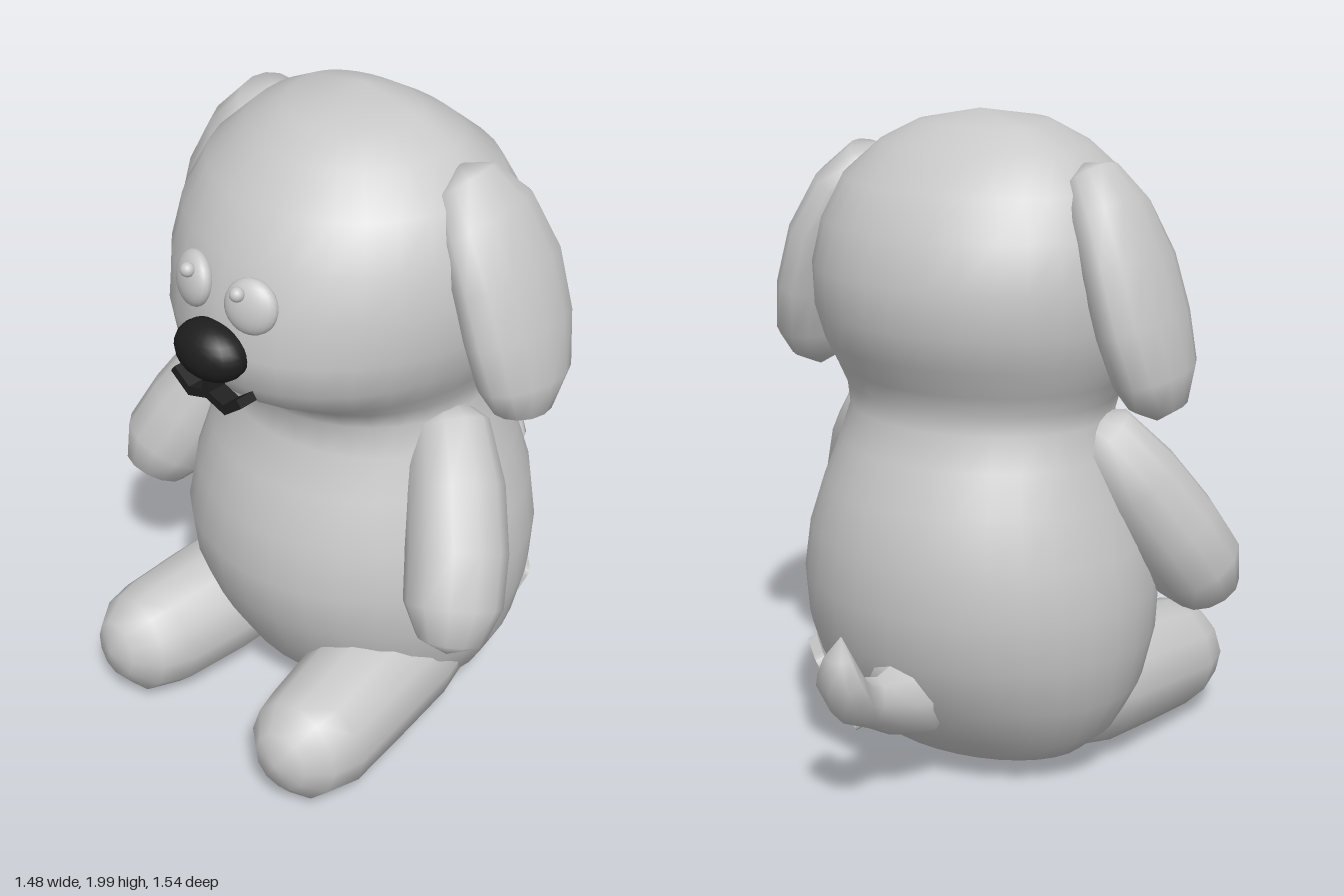
import * as THREE from 'three';
import { mergeVertices } from 'three/addons/utils/BufferGeometryUtils.js';
import { RoundedBoxGeometry } from 'three/addons/geometries/RoundedBoxGeometry.js';

// Smooth skin over elliptical sections [x, y, z, ru, rv, rvOpposite?].
// Each ring lies across the path; ru runs sideways (x), rv the other way.
function loft(sections, sides) {
  const centers = sections.map((s) => new THREE.Vector3(s[0], s[1], s[2]));
  const pos = [];
  const index = [];
  sections.forEach(([, , , ru, rv = ru, rw = rv], i) => {
    const t = centers[Math.min(i + 1, centers.length - 1)].clone()
      .sub(centers[Math.max(i - 1, 0)]).normalize();
    const u = new THREE.Vector3(1, 0, 0).addScaledVector(t, -t.x).normalize();
    const v = new THREE.Vector3().crossVectors(t, u);
    for (let j = 0; j < sides; j++) {
      const a = (j / sides) * Math.PI * 2;
      const s = Math.sin(a);
      const p = centers[i].clone().addScaledVector(u, Math.cos(a) * ru)
        .addScaledVector(v, s * (s > 0 ? rv : rw));
      pos.push(p.x, p.y, p.z);
      if (i < sections.length - 1) {
        const k = (j + 1) % sides;
        const A = i * sides + j, B = i * sides + k;
        index.push(A, B, B + sides, A, B + sides, A + sides);
      }
    }
  });
  let g = new THREE.BufferGeometry();
  g.setAttribute('position', new THREE.Float32BufferAttribute(pos, 3));
  g.setIndex(index);
  g = mergeVertices(g, 1e-5);
  g.computeVertexNormals();
  return g;
}

export function createModel() {
  const model = new THREE.Group();
  model.name = 'sittingPuppy';
  const fur = new THREE.MeshStandardMaterial({ color: 0xc8c8c8 });
  fur.name = 'grey fur';
  const black = new THREE.MeshStandardMaterial({ color: 0x1e1e1e });
  black.name = 'black';

  const add = (name, geometry, material = fur) => {
    const m = new THREE.Mesh(geometry, material);
    m.name = name;
    model.add(m);
    return m;
  };
  const ball = (name, x, y, z, rx, ry, rz, material) => {
    const m = add(name, new THREE.SphereGeometry(1, 20, 14), material);
    m.position.set(x, y, z);
    m.scale.set(rx, ry, rz);
    return m;
  };
  // [y, half width, front depth, back depth]
  const stack = (rows) => loft(rows.map(([y, w, f, b]) => [0, y, 0, w, b, f]), 32);

  // Body up to the neck, then the head
  add('body', stack([
    [0.02, 0, 0, 0], [0.03, 0.2, 0.18, 0.12], [0.08, 0.36, 0.28, 0.24],
    [0.16, 0.45, 0.37, 0.32], [0.3, 0.52, 0.45, 0.42], [0.45, 0.55, 0.51, 0.48],
    [0.6, 0.555, 0.53, 0.5], [0.75, 0.53, 0.5, 0.49], [0.9, 0.48, 0.45, 0.45],
    [1.02, 0.44, 0.385, 0.385], [1.12, 0.41, 0.385, 0.345], [1.18, 0.42, 0.43, 0.345],
    [1.24, 0.45, 0.53, 0.365], [1.32, 0.485, 0.59, 0.41], [1.42, 0.51, 0.6, 0.445],
    [1.55, 0.515, 0.575, 0.45], [1.68, 0.49, 0.53, 0.41], [1.8, 0.43, 0.45, 0.34],
    [1.9, 0.32, 0.34, 0.22], [1.96, 0.2, 0.24, 0.12], [2.0, 0, 0, 0],
  ]));

  // Paired parts, mirrored by flipping the path
  const ear = [
    [0.34, 1.87, 0, 0], [0.37, 1.83, 0, 0.08, 0.11], [0.44, 1.74, -0.01, 0.1, 0.17],
    [0.51, 1.6, -0.02, 0.105, 0.2], [0.56, 1.44, -0.02, 0.105, 0.2],
    [0.595, 1.3, -0.01, 0.1, 0.17], [0.6, 1.21, 0, 0.08, 0.1], [0.6, 1.16, 0, 0],
  ];
  const arm = [
    [0.3, 1.14, 0, 0], [0.38, 1.06, 0.05, 0.12], [0.47, 0.92, 0.12, 0.145],
    [0.55, 0.77, 0.2, 0.15], [0.6, 0.65, 0.27, 0.145], [0.625, 0.56, 0.31, 0.1],
    [0.63, 0.52, 0.33, 0],
  ];
  const leg = [
    [0.28, 0.24, -0.15, 0], [0.29, 0.24, -0.08, 0.14], [0.3, 0.23, 0.15, 0.19],
    [0.32, 0.21, 0.38, 0.19], [0.345, 0.19, 0.58, 0.18], [0.35, 0.2, 0.68, 0.155],
    [0.36, 0.21, 0.745, 0.09], [0.36, 0.21, 0.77, 0],
  ];
  for (const side of [1, -1]) {
    const label = side > 0 ? 'left' : 'right';
    const flip = (path) => path.map(([x, ...rest]) => [x * side, ...rest]);
    add(label + 'Ear', loft(flip(ear), 14));
    add(label + 'Arm', loft(flip(arm), 12));
    add(label + 'Leg', loft(flip(leg), 12));

    // Bulging eye with a small bead on it
    const eye = ball(label + 'Eye', side * 0.11, 1.575, 0.555, 0.08, 0.08, 0.04);
    eye.rotation.set(-0.2, side * 0.3, 0);
    ball(label + 'EyeBead', side * 0.095, 1.622, 0.592, 0.021, 0.021, 0.021);
  }

  // Nose
  ball('nose', 0, 1.415, 0.605, 0.12, 0.086, 0.085, black);

  // Mouth: short bars forming a stem and two hooked curves
  const bar = (name, a, b) => {
    const dx = b[0] - a[0], dy = b[1] - a[1];
    const m = add(name, new THREE.BoxGeometry(Math.hypot(dx, dy) + 0.015, 0.027, 0.06), black);
    m.position.set((a[0] + b[0]) / 2, (a[1] + b[1]) / 2, 0.605);
    m.rotation.z = Math.atan2(dy, dx);
  };
  bar('mouthStem', [0, 1.35], [0, 1.285]);
  for (const s of [1, -1]) {
    bar('mouthInner', [0, 1.285], [s * 0.07, 1.262]);
    bar('mouthOuter', [s * 0.07, 1.262], [s * 0.125, 1.305]);
  }

  // Tail, pinched near the base and turned up to a point
  add('tail', loft([
    [0, 0.32, -0.36, 0.13, 0.14], [0, 0.335, -0.47, 0.1, 0.11],
    [0, 0.355, -0.56, 0.04, 0.075], [0, 0.4, -0.66, 0.075, 0.07],
    [0, 0.48, -0.715, 0.08, 0.055], [0, 0.55, -0.72, 0.045, 0.04], [0, 0.61, -0.705, 0],
  ], 8));

  // Blank patch on the lower back
  const patch = add('backPatch', new RoundedBoxGeometry(0.2, 0.28, 0.02, 3, 0.01));
  const shape = new THREE.Shape();
  const w = 0.1, h = 0.14, r = 0.03;
  shape.moveTo(-w + r, -h).lineTo(w - r, -h).quadraticCurveTo(w, -h, w, -h + r)
    .lineTo(w, h - r).quadraticCurveTo(w, h, w - r, h)
    .lineTo(-w + r, h).quadraticCurveTo(-w, h, -w, h - r)
    .lineTo(-w, -h + r).quadraticCurveTo(-w, -h, -w + r, -h);
  patch.geometry = new THREE.ExtrudeGeometry(shape, { depth: 0.03, bevelEnabled: false, curveSegments: 5 });
  patch.position.set(0.325, 0.25, -0.29);
  patch.lookAt(0.325 + 1, 0.25 - 0.7, -0.29 - 1);

  return model;
}
